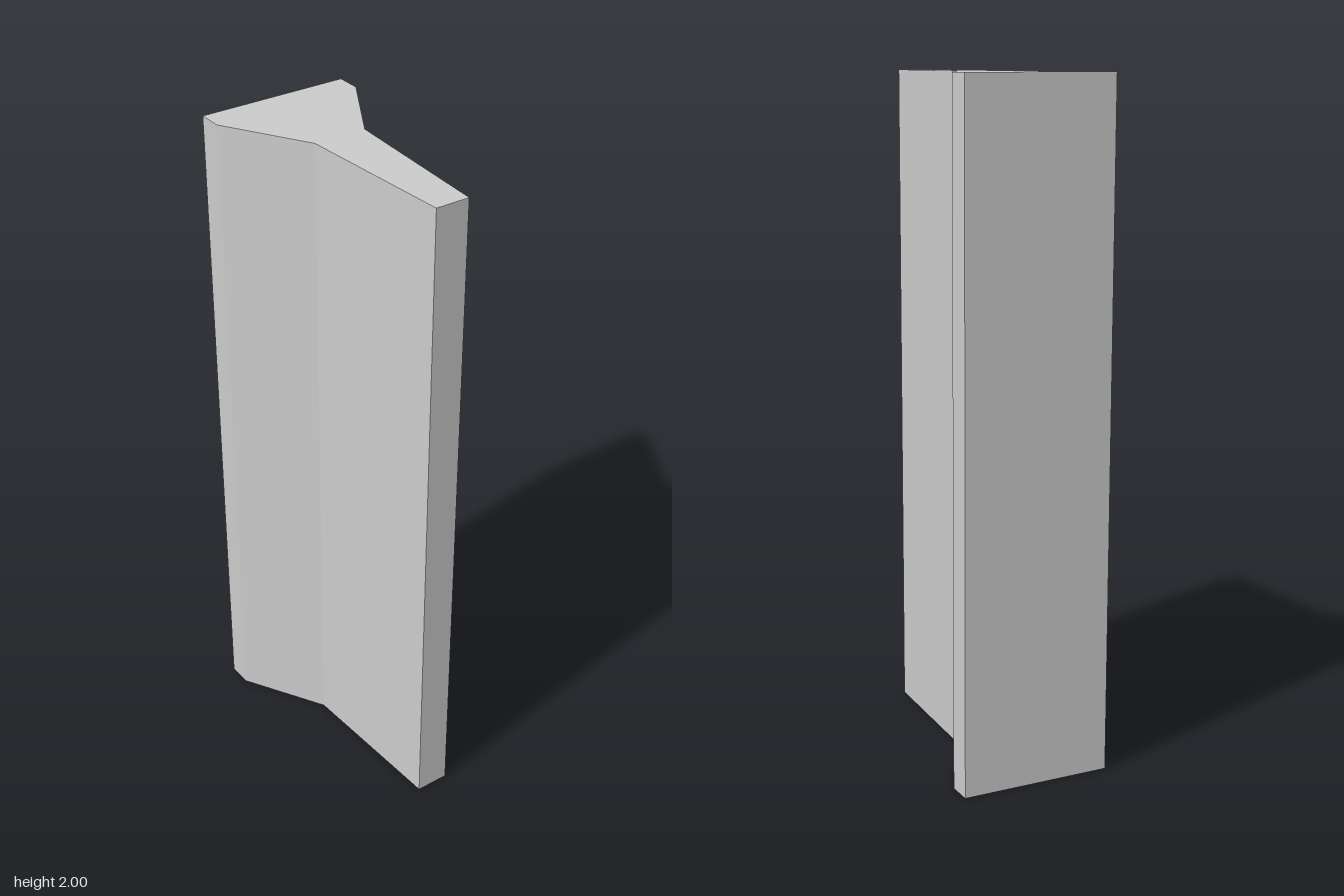
import * as THREE from 'three';

export function createModel() {
  const group = new THREE.Group();
  group.name = 'post';

  // Half of the T-like cross-section as [x, z], from front to back
  const half = [[0.051, 0.405], [0.08, -0.08], [0.228, -0.331], [0.228, -0.405]];
  const right = half.map(([x, z]) => new THREE.Vector2(x, -z));
  const left = half.map(([x, z]) => new THREE.Vector2(-x, -z)).reverse();
  const section = new THREE.Shape([...right, ...left]);

  // Extrude to full height and stand it upright
  const geometry = new THREE.ExtrudeGeometry(section, { depth: 2, bevelEnabled: false });
  geometry.rotateX(-Math.PI / 2);

  const material = new THREE.MeshStandardMaterial({ color: 0xcccccc, flatShading: true });
  const beam = new THREE.Mesh(geometry, material);
  beam.name = 'beam';
  group.add(beam);
  return group;
}
